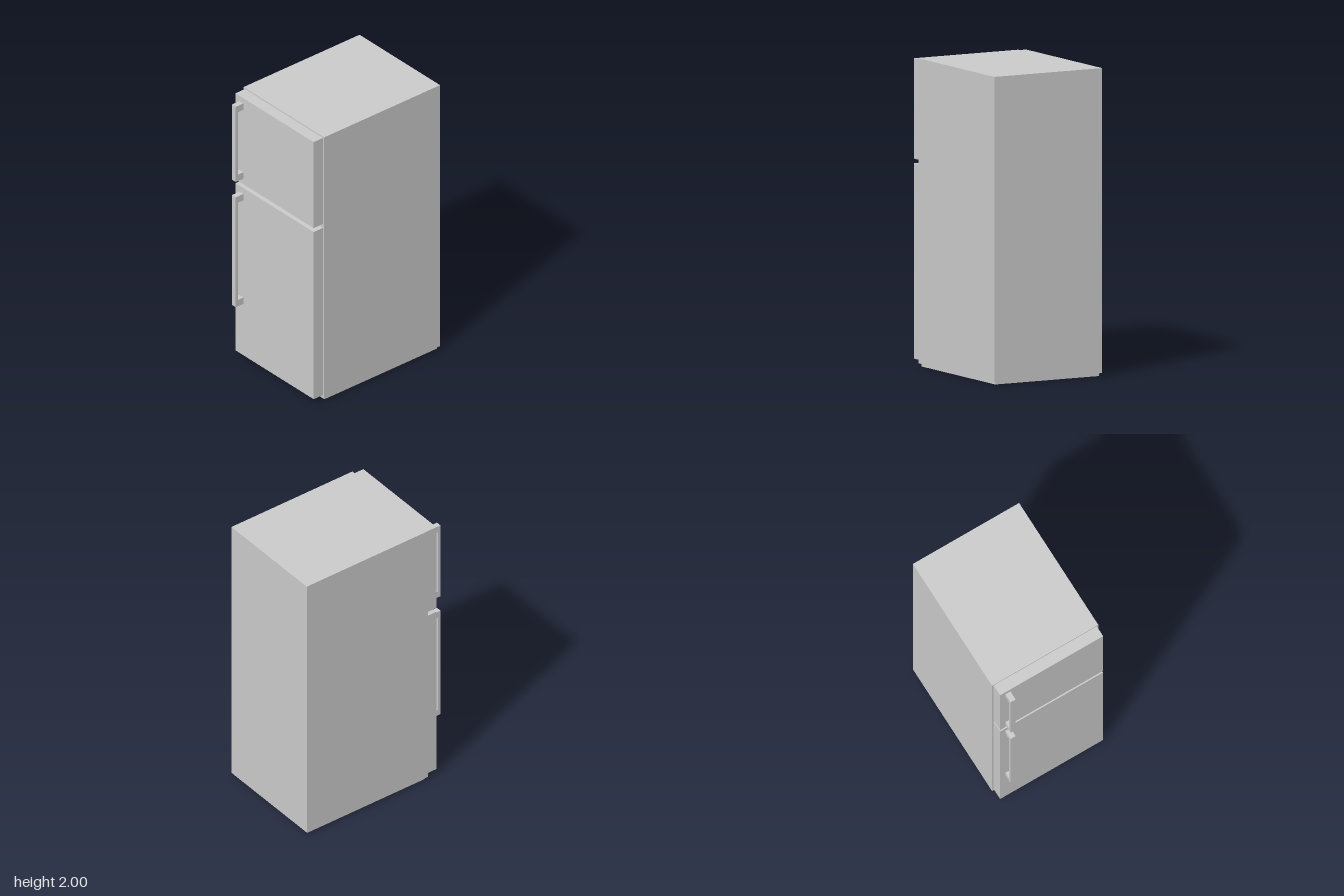
import * as THREE from 'three';

const material = new THREE.MeshStandardMaterial({ color: 0xcccccc, flatShading: true });

// Box given by its minimum and maximum corners
function box(name, [x0, y0, z0], [x1, y1, z1]) {
  const mesh = new THREE.Mesh(new THREE.BoxGeometry(x1 - x0, y1 - y0, z1 - z0), material);
  mesh.name = name;
  mesh.position.set((x0 + x1) / 2, (y0 + y1) / 2, (z0 + z1) / 2);
  return mesh;
}

// C-shaped bar handle, extruded across its width
function handle(name, y0, y1) {
  const back = 0.496, grip = 0.54, front = 0.56, foot = 0.048;
  const profile = new THREE.Shape([
    [back, y0], [front, y0], [front, y1], [back, y1],
    [back, y1 - foot], [grip, y1 - foot], [grip, y0 + foot], [back, y0 + foot],
  ].map(([z, y]) => new THREE.Vector2(-z, y)));
  const geometry = new THREE.ExtrudeGeometry(profile, { depth: 0.038, bevelEnabled: false });
  geometry.rotateY(Math.PI / 2); // profile x becomes -z, depth becomes +x
  const mesh = new THREE.Mesh(geometry, material);
  mesh.name = name;
  mesh.position.x = -0.348;
  return mesh;
}

export function createModel() {
  const group = new THREE.Group();
  group.name = 'refrigerator';

  // Cabinet on a slightly inset plinth
  group.add(box('cabinet', [-0.4, 0.02, -0.56], [0.4, 2, 0.417]));
  group.add(box('plinth', [-0.385, 0, -0.545], [0.385, 0.02, 0.402]));

  // Freezer door above, fridge door below, each with its handle
  const doors = [
    ['freezer', 1.338, 1.99, 1.38, 1.95],
    ['fridge', 0.04, 1.308, 0.43, 1.263],
  ];
  for (const [name, bottom, top, handleBottom, handleTop] of doors) {
    group.add(box(name + 'Door', [-0.388, bottom, 0.417], [0.388, top, 0.496]));
    group.add(handle(name + 'Handle', handleBottom, handleTop));
  }
  return group;
}
